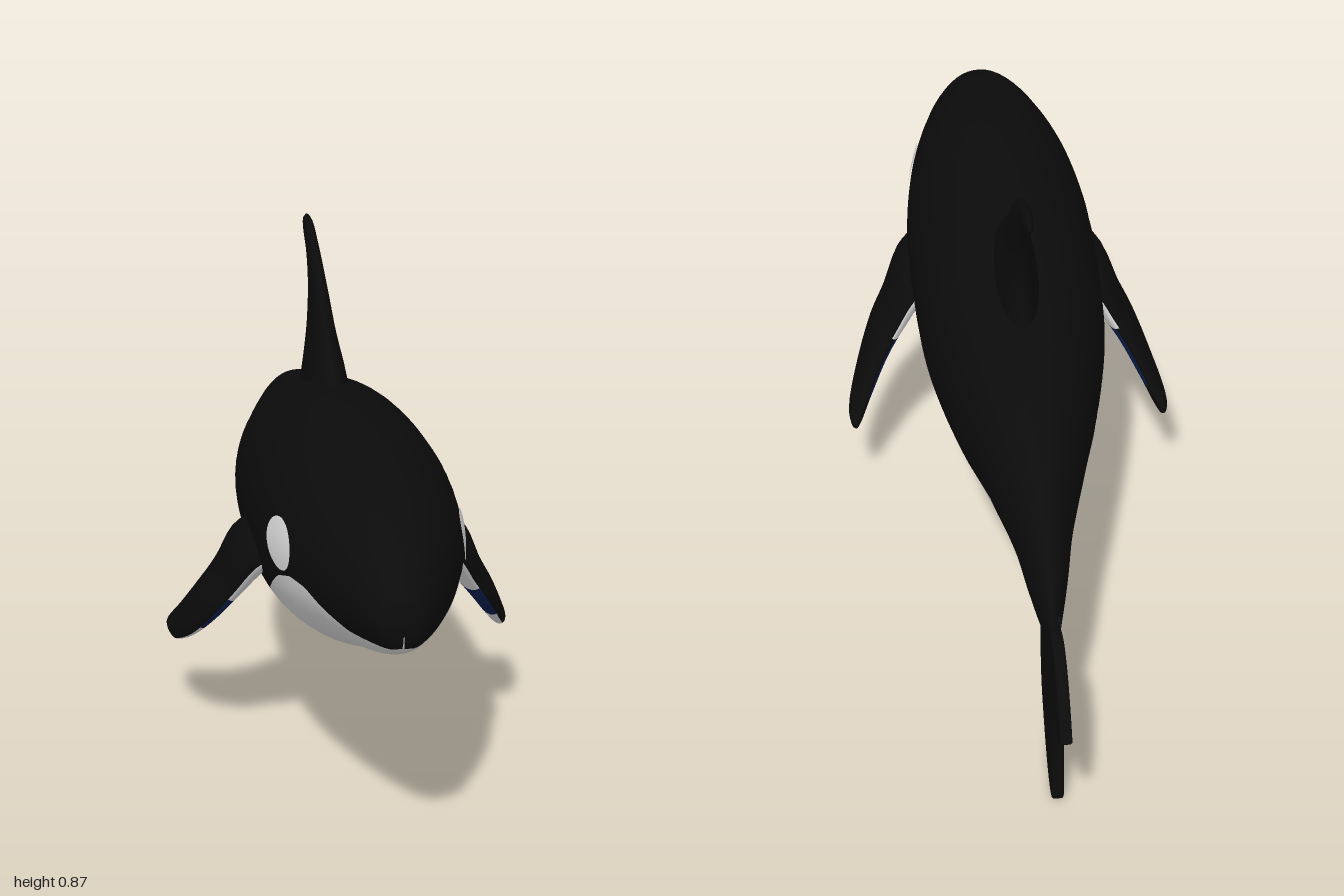
import * as THREE from 'three';

const mat = (name, hex) => {
  const m = new THREE.MeshStandardMaterial({ color: hex });
  m.name = name;
  return m;
};

// Read a table of rows [key, ...values] at t; smooth = cubic, otherwise straight lines
function sample(rows, t, smooth = true) {
  let i = 0;
  while (i < rows.length - 2 && t > rows[i + 1][0]) i++;
  const a = rows[i], b = rows[i + 1], d = b[0] - a[0];
  const u = THREE.MathUtils.clamp((t - a[0]) / d, 0, 1);
  const p = rows[Math.max(i - 1, 0)], q = rows[Math.min(i + 2, rows.length - 1)];
  return a.slice(1).map((v, k) => {
    const w = b[k + 1];
    if (!smooth) return v + (w - v) * u;
    const m0 = (w - p[k + 1]) / (b[0] - p[0]) * d, m1 = (q[k + 1] - v) / (q[0] - a[0]) * d;
    return v + u * (m0 + u * (3 * (w - v) - 2 * m0 - m1 + u * (2 * (v - w) + m0 + m1)));
  });
}

// Closed skin through equal rings of points; paint(i, j) picks the material of each quad
function loft(rings, paint, materials, name) {
  const n = rings[0].length, last = rings.length - 1;
  const pts = rings.flat();
  const faces = materials.map(() => []);
  const centre = r => r.reduce((s, p) => s.add(p), new THREE.Vector3()).divideScalar(n);
  pts.push(centre(rings[0]), centre(rings[last]));
  for (let j = 0; j < n; j++) {
    const k = (j + 1) % n;
    for (let i = 0; i < last; i++) {
      const a = i * n + j, b = i * n + k;
      faces[paint(i, j)].push([a, b, a + n], [b, b + n, a + n]);
    }
    faces[paint(0, j)].push([pts.length - 2, k, j]);
    faces[paint(last - 1, j)].push([pts.length - 1, last * n + j, last * n + k]);
  }
  // Turn the skin outwards if its volume comes out negative
  let volume = 0;
  const c = new THREE.Vector3();
  faces.flat().forEach(f => { volume += pts[f[0]].dot(c.crossVectors(pts[f[1]], pts[f[2]])); });
  const g = new THREE.BufferGeometry().setFromPoints(pts);
  const index = [];
  faces.forEach((list, m) => {
    if (!list.length) return;
    g.addGroup(index.length, list.length * 3, m);
    list.forEach(f => index.push(...(volume < 0 ? [f[0], f[2], f[1]] : f)));
  });
  g.setIndex(index);
  g.computeVertexNormals();
  const mesh = new THREE.Mesh(g, materials);
  mesh.name = name;
  return mesh;
}

// Body stations: z, top, bottom, half width
const BODY = [
  [-0.79, 0.33, 0.29, 0.008], [-0.74, 0.36, 0.268, 0.018], [-0.66, 0.428, 0.272, 0.037],
  [-0.56, 0.468, 0.291, 0.056], [-0.4, 0.519, 0.28, 0.095], [-0.2, 0.568, 0.24, 0.142],
  [0, 0.615, 0.225, 0.178], [0.2, 0.643, 0.23, 0.19], [0.42, 0.653, 0.244, 0.19],
  [0.62, 0.64, 0.29, 0.168], [0.8, 0.605, 0.35, 0.125], [0.9, 0.575, 0.38, 0.088],
  [0.96, 0.536, 0.403, 0.058], [0.99, 0.515, 0.42, 0.042], [1, 0.5, 0.435, 0.027],
];
// Height of the edge between black back and white belly: z, y
const EDGE = [
  [-0.79, 0.28], [-0.7, 0.287], [-0.61, 0.307], [-0.49, 0.325], [-0.43, 0.365], [-0.31, 0.342],
  [-0.22, 0.325], [-0.17, 0.282], [-0.12, 0.29], [-0.05, 0.362], [0.06, 0.388], [0.18, 0.38],
  [0.225, 0.35], [0.25, 0.3], [0.39, 0.28], [0.43, 0.335], [0.515, 0.375], [0.62, 0.43],
  [0.69, 0.452], [0.76, 0.455], [0.89, 0.422], [1, 0.422],
];
// Flipper stations: span, x, y, leading z, trailing z, half thickness
const FLIPPER = [
  [0, 0.13, 0.43, 0.5, 0.26, 0.05], [0.2, 0.185, 0.395, 0.475, 0.235, 0.04],
  [0.4, 0.225, 0.33, 0.43, 0.225, 0.03], [0.6, 0.26, 0.275, 0.395, 0.2, 0.025],
  [0.8, 0.295, 0.212, 0.32, 0.15, 0.019], [0.95, 0.318, 0.17, 0.23, 0.115, 0.014],
  [1, 0.322, 0.16, 0.18, 0.13, 0.006],
];
// Dorsal fin stations: y, front z, back z, half thickness
const DORSAL = [
  [0.55, 0.22, -0.18, 0.052], [0.645, 0.135, -0.157, 0.036], [0.7, 0.052, -0.157, 0.026],
  [0.765, -0.02, -0.18, 0.018], [0.82, -0.105, -0.232, 0.013], [0.85, -0.165, -0.292, 0.011],
  [0.868, -0.215, -0.302, 0.009], [0.877, -0.25, -0.285, 0.004],
];

export function createModel() {
  const black = mat('black', 0x0b0b0b), white = mat('white', 0xdcdcdc), navy = mat('navy', 0x0c1f50);
  const skin = [black, white, navy];
  const model = new THREE.Group();
  model.name = 'whale';

  // Body: each ring has fixed counts of black and white segments meeting at the colour edge
  const UP = 14, LOW = 10, half = UP + LOW, rings = [];
  for (let i = 0; i <= 140; i++) {
    const z = -0.79 + 1.79 * (1 - (1 - i / 140) ** 1.15);
    const [top, bottom, w] = sample(BODY, z);
    const c = (top + bottom) / 2, h = (top - bottom) / 2;
    const limit = Math.acos(THREE.MathUtils.clamp((sample(EDGE, z, false)[0] - c) / h, -0.999, 0.999));
    const ring = [];
    for (let j = 0; j < 2 * half; j++) {
      const k = j <= half ? j : 2 * half - j;
      const a = k <= UP ? limit * k / UP : limit + (Math.PI - limit) * (k - UP) / LOW;
      ring.push(new THREE.Vector3((j <= half ? 1 : -1) * w * Math.sin(a), c + h * Math.cos(a), z));
    }
    rings.push(ring);
  }
  model.add(loft(rings, (i, j) => (j >= UP && j < 2 * half - UP ? 1 : 0), skin, 'body'));

  // Dorsal fin
  const dorsal = [];
  for (let i = 0; i <= 24; i++) {
    const y = 0.55 + 0.327 * (1 - (1 - i / 24) ** 1.5);
    const [f, b, t] = sample(DORSAL, y);
    dorsal.push(Array.from({ length: 20 }, (_, k) => {
      const a = k / 20 * Math.PI * 2;
      return new THREE.Vector3(t * Math.sin(a), y, (f + b) / 2 + (f - b) / 2 * Math.cos(a));
    }));
  }
  model.add(loft(dorsal, () => 0, skin, 'dorsalFin'));

  for (const side of [1, -1]) {
    const label = side > 0 ? 'left' : 'right';

    // Flipper: black outside, white and navy underneath, pale leading edge at the tip
    const N = 24, fin = [];
    for (let i = 0; i <= 24; i++) {
      const [x, y, lead, trail, t] = sample(FLIPPER, 1 - (1 - i / 24) ** 1.3);
      fin.push(Array.from({ length: N }, (_, k) => {
        const a = k / N * Math.PI * 2, o = t * Math.sin(a);
        return new THREE.Vector3(side * (x + 0.84 * o), y + 0.54 * o,
          (lead + trail) / 2 + (lead - trail) / 2 * Math.cos(a));
      }));
    }
    const paint = (i, j) => {
      if (j < N / 2) return 0;
      if (i < 9) return 1;
      if (i >= 15 && j >= 20) return 1;
      return i < 17 && j >= 13 ? 2 : 0;
    };
    model.add(loft(fin, paint, skin, label + 'Flipper'));

    // Eye patch laid on the curve of the head
    const g = new THREE.RingGeometry(0, 1, 32, 6), p = g.attributes.position;
    for (let i = 0; i < p.count; i++) {
      const u = p.getX(i), z = 0.63 - side * 0.07 * u;
      const y = 0.493 + 0.042 * p.getY(i) - side * u * 0.006 * -1;
      const [top, bottom, w] = sample(BODY, z);
      const d = (y - (top + bottom) / 2) / ((top - bottom) / 2);
      p.setXYZ(i, side * (w * Math.sqrt(1 - d * d) + 0.004), y, z);
    }
    g.computeVertexNormals();
    const patch = new THREE.Mesh(g, white);
    patch.name = label + 'EyePatch';
    model.add(patch);
  }

  // Upright tail fluke, outlined in (-z, y)
  const V = (u, y) => new THREE.Vector2(u, y);
  const plate = (shape, thick, bevel, material, name) => {
    const g = new THREE.ExtrudeGeometry(shape, {
      depth: thick - 2 * bevel, bevelEnabled: bevel > 0, bevelThickness: bevel,
      bevelSize: bevel, bevelOffset: -bevel, bevelSegments: 3, curveSegments: 8,
    });
    g.translate(0, 0, -(thick - 2 * bevel) / 2).rotateY(Math.PI / 2);
    const mesh = new THREE.Mesh(g, material);
    mesh.name = name;
    model.add(mesh);
    return mesh;
  };
  const fluke = new THREE.Shape();
  fluke.moveTo(0.635, 0.275);
  fluke.splineThru([V(0.638, 0.22), V(0.665, 0.12), V(0.74, 0.045), V(0.81, 0.007), V(0.862, 0.006), V(0.873, 0.02)]);
  fluke.splineThru([V(0.866, 0.11), V(0.87, 0.205)]);
  fluke.splineThru([V(0.93, 0.226), V(0.985, 0.238), V(1, 0.248)]);
  fluke.splineThru([V(0.96, 0.292), V(0.9, 0.335), V(0.84, 0.35), V(0.775, 0.338), V(0.73, 0.345)]);
  plate(fluke, 0.022, 0.005, black, 'tailFluke');

  // Navy tint at the fluke root and its lower leading edge
  const root = new THREE.Shape([V(0.735, 0.29), V(0.765, 0.285), V(0.79, 0.31), V(0.775, 0.33), V(0.74, 0.335)]);
  plate(root, 0.008, 0, navy, 'flukeRootTint').position.x = -0.0085;
  const edge = new THREE.Shape([V(0.634, 0.25), V(0.637, 0.22), V(0.662, 0.12), V(0.672, 0.12), V(0.648, 0.25)]);
  plate(edge, 0.009, 0, navy, 'flukeEdgeTint');

  return model;
}
